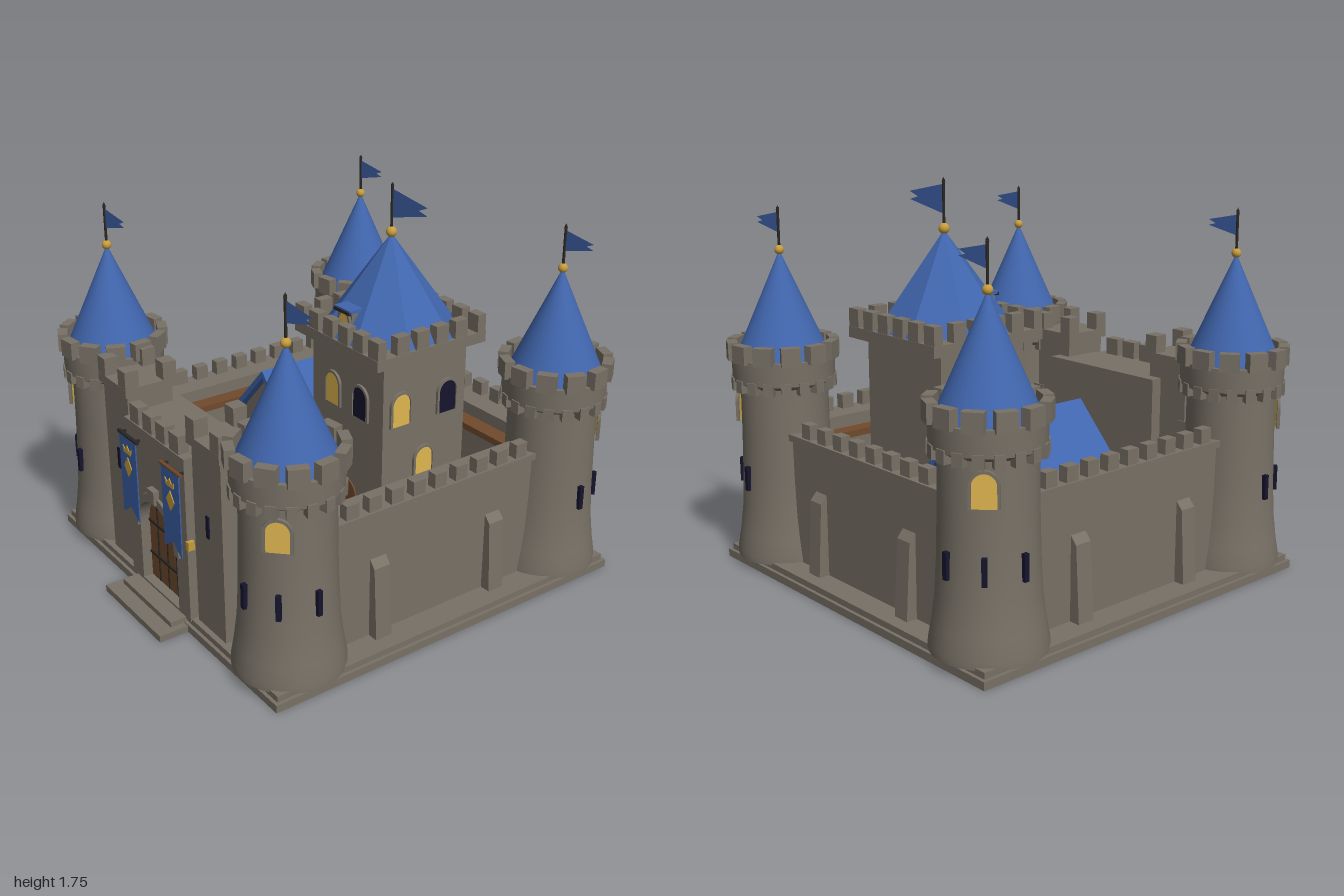
import * as THREE from 'three';
import { toCreasedNormals } from 'three/addons/utils/BufferGeometryUtils.js';

const mat = (name, color) => Object.assign(new THREE.MeshStandardMaterial({ color }), { name });
const stone = mat('stone', 0x787166), blue = mat('roof blue', 0x4166ae), wood = mat('wood', 0x714a2c);
const gold = mat('gold', 0xc79d3e), glow = mat('lit window', 0xe0b650), navy = mat('dark window', 0x16142c);
const iron = mat('iron', 0x2c2823);
const cloth = mat('cloth blue', 0x3d60a6);
cloth.side = THREE.DoubleSide;

function add(parent, name, geo, material, x = 0, y = 0, z = 0, ry = 0) {
  const m = new THREE.Mesh(geo, material);
  m.name = name;
  m.position.set(x, y, z);
  m.rotation.y = ry;
  parent.add(m);
  return m;
}
// box given by its ranges on each axis
function box(p, name, m, x0, x1, y0, y1, z0, z1) {
  return add(p, name, new THREE.BoxGeometry(x1 - x0, y1 - y0, z1 - z0), m, (x0 + x1) / 2, (y0 + y1) / 2, (z0 + z1) / 2);
}
function group(p, name, x = 0, y = 0, z = 0, ry = 0) {
  const g = new THREE.Group();
  g.name = name;
  g.position.set(x, y, z);
  g.rotation.y = ry;
  p.add(g);
  return g;
}
const extrude = (s, depth) => new THREE.ExtrudeGeometry(s, { depth, bevelEnabled: false, curveSegments: 12 });
const poly = (pts) => new THREE.Shape(pts.map(([x, y]) => new THREE.Vector2(x, y)));

// round-headed outline standing on y = 0
function arch(w, h, S = THREE.Shape) {
  const r = w / 2, s = new S();
  s.moveTo(-r, 0);
  s.lineTo(r, 0);
  s.lineTo(r, h - r);
  s.absarc(0, h - r, r, 0, Math.PI, false);
  s.lineTo(-r, 0);
  return s;
}
// band around a round-headed opening
function archBand(w, h, t, y0 = 0) {
  const r = w / 2, s = new THREE.Shape();
  s.moveTo(r, y0);
  s.lineTo(r + t, y0);
  s.lineTo(r + t, h - r);
  s.absarc(0, h - r, r + t, 0, Math.PI, false);
  s.lineTo(-r - t, y0);
  s.lineTo(-r, y0);
  s.lineTo(-r, h - r);
  s.absarc(0, h - r, r, Math.PI, 0, true);
  return s;
}
function archWindow(p, m, x, y, z, ry, w = 0.09, h = 0.14) {
  const g = group(p, 'archWindow', x, y, z, ry);
  add(g, 'pane', extrude(arch(w, h), 0.008), m);
  add(g, 'windowFrame', extrude(archBand(w, h, 0.012), 0.014), stone);
}
// finial ball, pole and swallow-tailed flag; size scales the cloth
function flagPole(p, x, y, z, size, ball, height) {
  const g = group(p, 'flagPole', x, y, z, 0.12);
  add(g, 'finial', new THREE.SphereGeometry(ball, 16, 12), gold);
  add(g, 'pole', new THREE.CylinderGeometry(0.006, 0.006, height, 8), iron, 0, height / 2);
  add(g, 'poleTip', new THREE.ConeGeometry(0.008, 0.02, 8), iron, 0, height);
  const s = poly([[0, 0], [0, -0.09], [0.145, -0.055], [0.11, -0.045], [0.145, -0.03]]);
  add(g, 'flag', new THREE.ShapeGeometry(s), cloth, 0, height - 0.02, 0).scale.setScalar(size);
}
// evenly spaced merlons from a to b, along x or z
function merlons(p, axis, a, b, n, other, y, w, h, d) {
  for (let i = 0; i < n; i++) {
    const t = a + (b - a) * i / (n - 1), alongX = axis === 'x';
    add(p, 'merlon', new THREE.BoxGeometry(alongX ? w : d, h, alongX ? d : w), stone,
      alongX ? t : other, y + h / 2, alongX ? other : t);
  }
}

function cornerTower(p, sx, sz) {
  const g = group(p, 'cornerTower', sx * 0.7, 0, sz > 0 ? 0.66 : -0.75);
  const prof = [[0, 0.05], [0.236, 0.05], [0.236, 0.08], [0.222, 0.16], [0.208, 0.27], [0.2, 0.42], [0.195, 0.62],
    [0.193, 0.84], [0.225, 0.86], [0.228, 0.965], [0, 0.965]];
  add(g, 'towerBody', toCreasedNormals(new THREE.LatheGeometry(prof.map(([r, y]) => new THREE.Vector2(r, y)), 40), 0.5), stone);
  for (let i = 0; i < 12; i++) {
    const r = group(g, 'battlement', 0, 0, 0, (i + 0.2) * Math.PI / 6);
    box(r, 'merlon', stone, -0.042, 0.042, 0.955, 1.035, 0.2, 0.245);
  }
  for (let i = 0; i < 18; i++) {
    const r = group(g, 'corbelRing', 0, 0, 0, i * Math.PI / 9);
    box(r, 'corbel', stone, -0.022, 0.022, 0.82, 0.875, 0.18, 0.231);
  }
  add(g, 'towerRoof', new THREE.ConeGeometry(0.208, 0.47, 40), blue, 0, 1.195);
  flagPole(g, 0, 1.43, 0, 1, 0.021, 0.185);
  // arrow slits and the lit window face outward
  const out = Math.atan2(sx, sz);
  for (const a of [sz > 0 ? 0 : Math.PI, out, sx * Math.PI / 2]) {
    box(group(g, 'arrowSlit', 0, 0, 0, a), 'slit', navy, -0.011, 0.011, 0.37, 0.48, 0.19, 0.217);
  }
  archWindow(group(g, 'towerWindow', 0, 0, 0, out), glow, 0, 0.665, 0.197, 0, 0.095, 0.135);
}

function buttress(p, x, z, ry) {
  const s = poly([[0, 0.06], [0.055, 0.06], [0.035, 0.39], [0, 0.43]]);
  const g = group(p, 'buttress', x, 0, z, ry);
  add(g, 'buttressBody', extrude(s, 0.08), stone, 0.04, 0, 0, -Math.PI / 2);
}

function walls(p) {
  for (const s of [-1, 1]) {
    const lo = (a, b) => [Math.min(s * a, s * b), Math.max(s * a, s * b)];
    box(p, 'sideWall', stone, ...lo(0.64, 0.775), 0.05, 0.62, -0.7, 0.6);
    box(p, 'sideWallCap', stone, ...lo(0.635, 0.79), 0.615, 0.645, -0.7, 0.6);
    merlons(p, 'z', -0.5, 0.405, 9, s * 0.757, 0.64, 0.062, 0.07, 0.045);
    box(p, 'sideWalkway', wood, ...lo(0.565, 0.64), 0.555, 0.585, -0.69, 0.5);
    box(p, 'frontWall', stone, ...lo(0.45, 0.65), 0.05, 0.645, 0.6, 0.74);
    merlons(p, 'x', s * 0.52, s * 0.6, 2, 0.715, 0.64, 0.06, 0.09, 0.045);
    for (const z of [0.272, -0.35]) buttress(p, s * 0.77, z, s * Math.PI / 2);
    buttress(p, s * 0.31, -0.825, Math.PI);
  }
  box(p, 'backWall', stone, -0.65, 0.65, 0.05, 0.62, -0.83, -0.69);
  box(p, 'backWallCap', stone, -0.65, 0.65, 0.615, 0.645, -0.845, -0.685);
  merlons(p, 'x', -0.41, 0.41, 8, -0.81, 0.64, 0.062, 0.07, 0.045);
  box(p, 'backWalkway', wood, -0.64, 0.64, 0.555, 0.585, -0.69, -0.61);
}

function gatehouse(p) {
  const g = group(p, 'gatehouse');
  box(g, 'gateBody', stone, -0.335, 0.335, 0.05, 0.82, 0.55, 0.79);
  const front = poly([[-0.25, 0.05], [0.25, 0.05], [0.25, 0.82], [-0.25, 0.82]]);
  front.holes.push(new THREE.Path(arch(0.31, 0.44).getPoints(12).map((v) => new THREE.Vector2(v.x, v.y + 0.065))));
  add(g, 'gateFront', extrude(front, 0.065), stone, 0, 0, 0.79);
  add(g, 'gateArch', extrude(archBand(0.31, 0.44, 0.038, 0.27), 0.02), stone, 0, 0.065, 0.848);
  box(g, 'keystone', stone, -0.028, 0.028, 0.515, 0.58, 0.85, 0.882);
  // double door with iron straps
  add(g, 'gateDoor', extrude(arch(0.31, 0.44), 0.02), wood, 0, 0.065, 0.79);
  for (const y of [0.19, 0.35]) box(g, 'doorStrap', iron, -0.15, 0.15, y - 0.006, y + 0.006, 0.81, 0.818);
  for (const x of [-0.078, 0, 0.078]) box(g, 'doorSeam', iron, x - 0.003, x + 0.003, 0.07, x ? 0.46 : 0.5, 0.81, 0.815);
  merlons(g, 'x', -0.165, 0.165, 4, 0.825, 0.815, 0.075, 0.085, 0.05);
  for (const s of [-1, 1]) {
    const t = group(g, 'gateTurret', s * 0.375, 0, 0.715);
    box(t, 'turretBody', stone, -0.108, 0.108, 0.05, 0.9, -0.11, 0.11);
    box(t, 'turretCap', stone, -0.125, 0.125, 0.895, 0.935, -0.125, 0.125);
    for (const z of [-0.092, 0.092]) merlons(t, 'x', -0.092, 0.092, 2, z, 0.93, 0.065, 0.085, 0.065);
    box(t, 'turretSlit', navy, -0.011, 0.011, 0.51, 0.61, 0.1, 0.116);
    // hanging banner with its emblem
    const b = group(g, 'banner', s * 0.18, 0, 0.877);
    const rod = add(b, 'bannerRod', new THREE.CylinderGeometry(0.009, 0.009, 0.165, 8), s > 0 ? wood : iron, 0, 0.757);
    rod.rotation.z = Math.PI / 2;
    for (const x of [-0.06, 0.06]) box(b, 'rodBracket', iron, x - 0.005, x + 0.005, 0.752, 0.762, -0.03, 0);
    add(b, 'bannerCloth', extrude(poly([[-0.07, 0.75], [-0.07, 0.37], [0, 0.42], [0.07, 0.37], [0.07, 0.75]]), 0.006), cloth);
    add(b, 'diamond', extrude(poly([[0, 0.567], [0.032, 0.614], [0, 0.66], [-0.032, 0.614]]), 0.004), gold, 0, 0, 0.006);
    add(b, 'crown', extrude(poly([[-0.03, 0.678], [0.03, 0.678], [0.037, 0.71], [0.017, 0.695], [0, 0.717], [-0.017, 0.695], [-0.037, 0.71]]), 0.004), gold, 0, 0, 0.006);
    box(g, 'lantern', gold, s * 0.257 - 0.011, s * 0.257 + 0.011, 0.405, 0.445, 0.83, 0.86);
  }
}

function keep(p) {
  const g = group(p, 'keep', 0.145, 0, -0.27);
  box(g, 'keepBody', stone, -0.255, 0.255, 0.05, 1.07, -0.23, 0.23);
  box(g, 'keepCap', stone, -0.3, 0.3, 1.055, 1.105, -0.3, 0.3);
  for (const s of [-1, 1]) {
    merlons(g, 'x', -0.265, 0.265, 6, s * 0.275, 1.1, 0.068, 0.085, 0.045);
    merlons(g, 'z', -0.16, 0.16, 4, s * 0.275, 1.1, 0.068, 0.085, 0.045);
  }
  const roof = new THREE.ConeGeometry(0.312, 0.43, 8, 1).rotateY(Math.PI / 8).toNonIndexed();
  roof.computeVertexNormals();
  add(g, 'keepRoof', roof, blue, 0, 1.315);
  flagPole(g, 0, 1.535, 0, 1.42, 0.024, 0.21);
  // dormer
  box(g, 'dormer', stone, -0.045, 0.045, 1.1, 1.225, 0.1, 0.243);
  archWindow(g, glow, 0, 1.135, 0.241, 0, 0.06, 0.085);
  box(g, 'dormerRoof', blue, -0.055, 0.055, 1.228, 1.243, 0.1, 0.262);
  box(g, 'dormerTrim', iron, -0.055, 0.055, 1.222, 1.236, 0.255, 0.265);
  // front and right windows, upper and lower
  archWindow(g, glow, -0.1, 0.75, 0.228, 0, 0.095, 0.15);
  archWindow(g, navy, 0.1, 0.75, 0.228, 0, 0.095, 0.15);
  archWindow(g, glow, 0.253, 0.75, 0.135, Math.PI / 2, 0.095, 0.15);
  archWindow(g, navy, 0.253, 0.75, -0.125, Math.PI / 2, 0.095, 0.15);
  archWindow(g, glow, 0.253, 0.46, 0, Math.PI / 2, 0.095, 0.15);
  // door and steps
  add(g, 'keepDoor', extrude(arch(0.15, 0.25), 0.009), wood, 0, 0.17, 0.228);
  for (let i = 0; i < 3; i++) box(g, 'keepStep', stone, -0.13, 0.13, 0.05, 0.09 + i * 0.04, 0.22, 0.45 - i * 0.05);
}

function hall(p) {
  const g = group(p, 'hall', -0.325, 0, 0);
  const gable = poly([[-0.2, 0.05], [0.2, 0.05], [0.2, 0.58], [0, 0.78], [-0.2, 0.58]]);
  add(g, 'hallWalls', extrude(gable, 0.62), stone, 0, 0, -0.56);
  const roof = poly([[-0.245, 0.55], [-0.225, 0.535], [0, 0.775], [0.225, 0.535], [0.245, 0.55], [0, 0.81]]);
  add(g, 'hallRoof', extrude(roof, 0.7), blue, 0, 0, -0.6);
  archWindow(g, glow, 0, 0.55, 0.058, 0, 0.085, 0.13);
  add(g, 'hallDoor', extrude(arch(0.12, 0.22), 0.009), wood, 0, 0.06, 0.058);
  box(g, 'chimney', stone, -0.155, -0.055, 0.55, 0.84, -0.445, -0.34);
}

function courtyard(p) {
  // lean-to stable
  const g = group(p, 'stable');
  add(g, 'stableRoof', extrude(poly([[0.31, 0.34], [0.64, 0.44], [0.64, 0.465], [0.31, 0.365]]), 0.46), wood, 0, 0, -0.01);
  for (const z of [0.01, 0.22, 0.43]) box(g, 'stablePost', wood, 0.325, 0.35, 0.05, 0.35, z - 0.012, z + 0.012);
  // market stall
  const s = group(p, 'marketStall', -0.15, 0, 0.38);
  box(s, 'awning', cloth, -0.1, 0.1, 0.25, 0.262, -0.07, 0.07);
  box(s, 'counter', wood, -0.08, 0.08, 0.05, 0.13, -0.045, 0.045);
  for (const x of [-0.09, 0.09]) for (const z of [-0.06, 0.06]) box(s, 'stallPost', wood, x - 0.006, x + 0.006, 0.05, 0.25, z - 0.006, z + 0.006);
  // crates
  for (const [x, y, z, r] of [[-0.325, 0.1, 0.16, 0.25], [-0.225, 0.1, 0.19, -0.3], [-0.28, 0.17, 0.175, 0.6]])
    add(p, 'crate', new THREE.BoxGeometry(0.07, 0.07, 0.07), wood, x, y, z, r);
}

export function createModel() {
  const root = new THREE.Group();
  root.name = 'castle';
  // stepped base and entrance steps
  box(root, 'basePlinth', stone, -0.91, 0.91, 0, 0.035, -0.955, 0.865);
  box(root, 'baseTop', stone, -0.895, 0.895, 0.03, 0.062, -0.94, 0.85);
  box(root, 'lowerStep', stone, -0.245, 0.24, 0, 0.03, 0.85, 1);
  box(root, 'upperStep', stone, -0.21, 0.21, 0, 0.055, 0.84, 0.93);
  for (const sx of [-1, 1]) for (const sz of [-1, 1]) cornerTower(root, sx, sz);
  walls(root);
  gatehouse(root);
  keep(root);
  hall(root);
  courtyard(root);
  return root;
}
